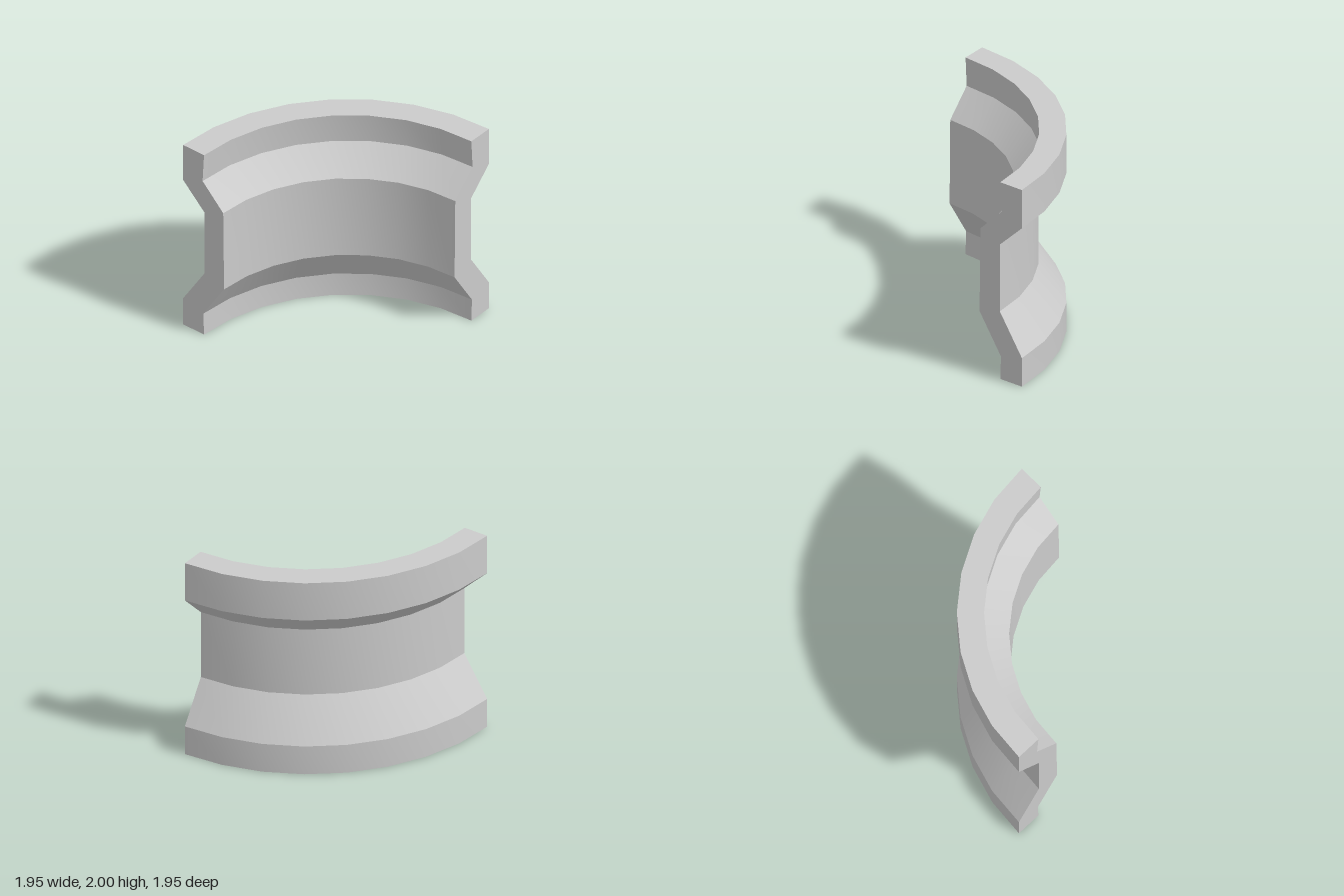
import * as THREE from 'three';
import { toCreasedNormals } from 'three/addons/utils/BufferGeometryUtils.js';

const HALF = 0.975; // half the footprint; the arc's axis stands at (-HALF, +HALF)

// Cross-section as [x, y]: up the outer side, then down the inner side
const section = [
  [0.975, 0], [0.975, 0.29], [0.725, 0.685], [0.725, 1.365], [0.975, 1.61], [0.975, 2],
  [0.73, 2], [0.747, 1.705], [0.505, 1.46], [0.495, 0.615], [0.738, 0.23], [0.73, 0],
].map(([x, y]) => new THREE.Vector2(x + HALF, y));

export function createModel() {
  const group = new THREE.Group();
  group.name = 'curvedMoulding';
  const material = new THREE.MeshStandardMaterial({ color: 0xcccccc });

  const add = (name, geometry) => {
    const mesh = new THREE.Mesh(geometry, material);
    mesh.name = name;
    mesh.position.set(-HALF, 0, HALF);
    group.add(mesh);
  };

  // Quarter-turn sweep, smooth along the arc and sharp at the profile corners
  const sweep = new THREE.LatheGeometry([...section, section[0].clone()], 8, Math.PI / 2, Math.PI / 2);
  add('quarterRingWall', toCreasedNormals(sweep, 0.35));

  // Flat cut faces closing both ends
  add('frontEndFace', new THREE.ShapeGeometry(new THREE.Shape(section)));
  const mirrored = section.map((p) => new THREE.Vector2(-p.x, p.y));
  add('leftwardEndFace', new THREE.ShapeGeometry(new THREE.Shape(mirrored)).rotateY(-Math.PI / 2));
  group.children[2].name = 'sideEndFace';

  return group;
}
